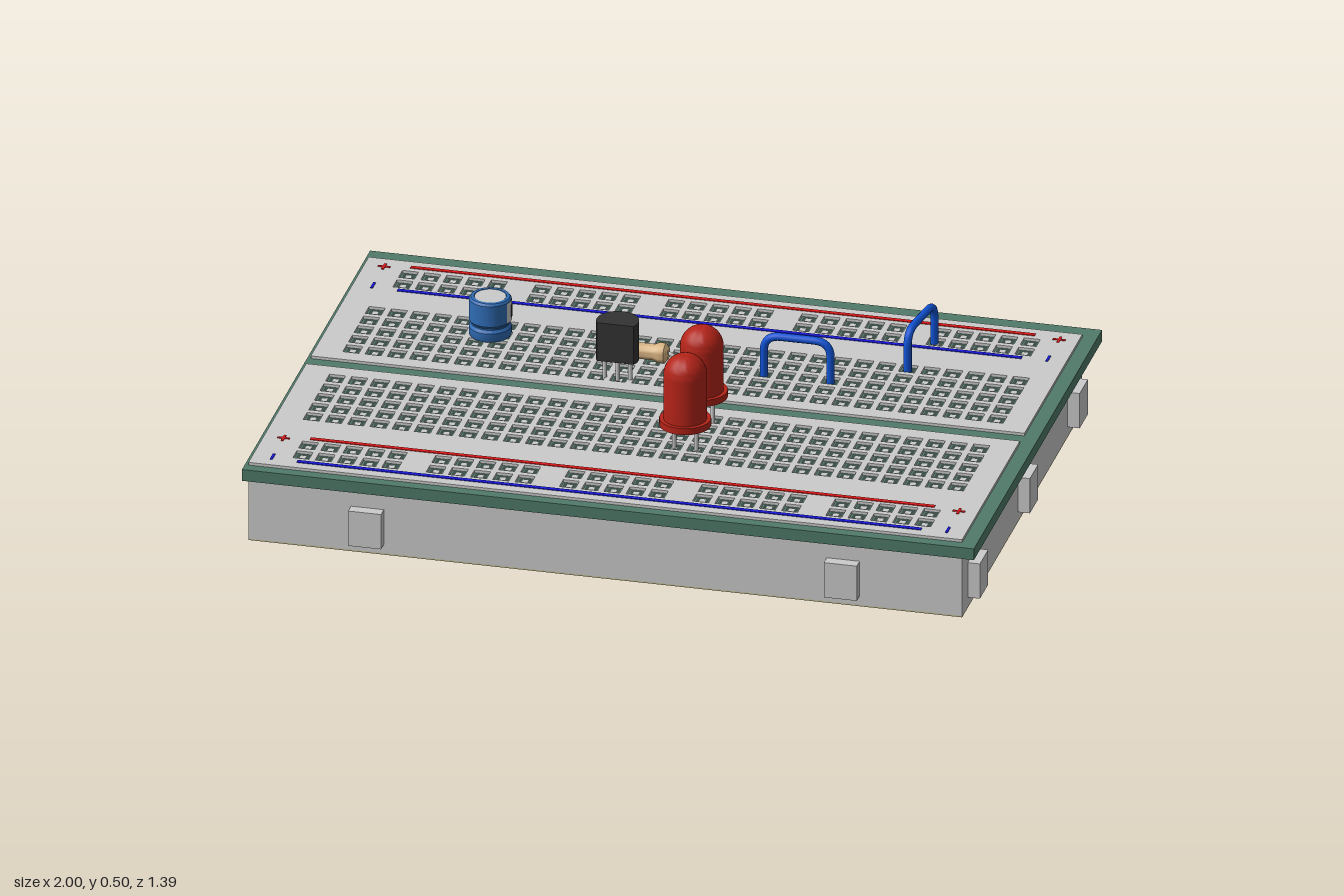
import * as THREE from 'three';
import { mergeGeometries, toCreasedNormals } from 'three/addons/utils/BufferGeometryUtils.js';

const mat = (color) => new THREE.MeshStandardMaterial({ color });
const M = {
  grey: mat(0xcccccc), green: mat(0x507a69), dark: mat(0x3c4c46), tape: mat(0xc0bc90),
  red: mat(0xe01818), blue: mat(0x1818e0), led: mat(0xb42318), black: mat(0x333333),
  tan: mat(0xd8b482), cap: mat(0x2f6cb5), wire: mat(0x1054d8),
};
const PITCH = 0.0607, SURFACE = 0.228;
const column = (n) => 0.868 - (n - 1) * PITCH; // x of numbered column 1..30

export function createModel() {
  const root = new THREE.Group();
  const add = (name, geo, material, x = 0, y = 0, z = 0, parent = root) => {
    const mesh = new THREE.Mesh(geo, material);
    mesh.name = name;
    mesh.position.set(x, y, z);
    parent.add(mesh);
    return mesh;
  };
  // Box given by its minimum and maximum corners
  const box = (name, m, a, b) => add(name,
    new THREE.BoxGeometry(b[0] - a[0], b[1] - a[1], b[2] - a[2]), m,
    (a[0] + b[0]) / 2, (a[1] + b[1]) / 2, (a[2] + b[2]) / 2);
  const group = (name, x, z) => {
    const g = new THREE.Group();
    g.name = name;
    g.position.set(x, 0, z);
    root.add(g);
    return g;
  };
  const lathe = (pts, seg = 32) => toCreasedNormals(
    new THREE.LatheGeometry(pts.map(([r, y]) => new THREE.Vector2(r, y)), seg), 0.6);

  // Body with the central channel, extruded along x
  const section = new THREE.Shape([
    [-0.638, 0.004], [0.664, 0.004], [0.664, 0.187], [0.037, 0.187], [0.037, 0.158],
    [-0.012, 0.158], [-0.012, 0.187], [-0.638, 0.187],
  ].map(([z, y]) => new THREE.Vector2(z, y)));
  const bodyGeo = new THREE.ExtrudeGeometry(section, { depth: 1.95, bevelEnabled: false });
  bodyGeo.rotateY(-Math.PI / 2);
  add('body', bodyGeo, M.grey, 0.96);
  box('adhesiveBacking', M.tape, [-0.99, 0, -0.638], [0.96, 0.004, 0.664]);
  box('boardSlab', M.green, [-1, 0.187, -0.695], [1, 0.22, 0.695]);

  // Interlocking tabs on the front and the left side
  for (const x of [-0.665, 0.635]) box('frontTab', M.grey, [x - 0.045, 0.03, 0.66], [x + 0.045, 0.132, 0.695]);
  for (const z of [0.557, 0.015, -0.525]) box('sideTab', M.grey, [0.955, 0.03, z - 0.045], [0.993, 0.132, z + 0.045]);

  // Socket positions: two power rails and two five-row terminal fields
  const sockets = [];
  for (const z of [-0.56, -0.5, 0.524, 0.585])
    for (let g = 0; g < 5; g++)
      for (let i = 0; i < 5; i++) sockets.push([-0.861 + g * 0.364 + i * PITCH, z]);
  for (const z0 of [-0.323, 0.107])
    for (let r = 0; r < 5; r++)
      for (let c = 1; c <= 30; c++) sockets.push([column(c), z0 + r * PITCH]);

  // Perforated top plates
  const square = (x, z, h) => [[-h, -h], [-h, h], [h, h], [h, -h]]
    .map(([a, b]) => new THREE.Vector2(x + a, z + b));
  for (const [name, z0, z1] of [['rearPlate', -0.64, -0.012], ['frontPlate', 0.037, 0.664]]) {
    const shape = new THREE.Shape([[-0.99, z0], [0.96, z0], [0.96, z1], [-0.99, z1]]
      .map(([x, z]) => new THREE.Vector2(x, z)));
    shape.holes = sockets.filter(([, z]) => z > z0 && z < z1)
      .map(([x, z]) => new THREE.Path(square(x, z, 0.022)));
    const geo = new THREE.ExtrudeGeometry(shape, { depth: 0.008, bevelEnabled: false });
    geo.rotateX(Math.PI / 2);
    add(name, geo, M.grey, 0, SURFACE);
  }
  // Dark wells and contacts inside the sockets
  const pads = (size, y) => mergeGeometries(sockets.map(([x, z]) =>
    new THREE.PlaneGeometry(size, size).rotateX(-Math.PI / 2).translate(x, y, z)));
  add('socketWells', pads(0.034, 0.221), M.dark);
  add('socketContacts', pads(0.015, 0.222), M.grey);

  // Rail stripes and polarity marks
  const mark = (name, m, x, z, w, d) => add(name, new THREE.BoxGeometry(w, 0.002, d), m, x, SURFACE + 0.001, z);
  for (const [redZ, blueZ] of [[-0.605, -0.46], [0.484, 0.628]]) {
    mark('redStripe', M.red, -0.013, redZ, 1.706, 0.013);
    mark('blueStripe', M.blue, -0.013, blueZ, 1.706, 0.013);
    for (const x of [-0.936, 0.909]) {
      mark('positiveMark', M.red, x, redZ + 0.013, 0.034, 0.007);
      mark('positiveMark', M.red, x, redZ + 0.013, 0.007, 0.034);
      mark('negativeMark', M.blue, x, blueZ - 0.012, 0.007, 0.034);
    }
  }

  // Straight component leg
  const leg = (parent, x, z, top) => add('leg',
    new THREE.CylinderGeometry(0.006, 0.006, top - 0.21, 10), M.grey, x, (top + 0.21) / 2, z, parent);

  // Two lamps with a collar and domed lens
  const lens = [[0, 0.295], [0.069, 0.295], [0.069, 0.314], [0.058, 0.314]];
  for (let i = 0; i <= 10; i++) {
    const a = (i / 10) * Math.PI / 2;
    lens.push([0.058 * Math.cos(a), 0.442 + 0.058 * Math.sin(a)]);
  }
  for (const z of [0.109, 0.289]) {
    const lamp = group('lamp', 0.109, z);
    add('lampLens', lathe(lens), M.led, 0, 0, 0, lamp);
    for (const s of [-1, 1]) leg(lamp, s * PITCH / 2, 0, 0.3);
  }

  // Transistor: rounded to the back, flat at the front
  const transistor = group('transistor', column(18) + 0.002 - 0.0065, -0.079);
  const dShape = new THREE.Shape();
  dShape.absarc(0, 0, 0.057, 0.5, Math.PI - 0.5, true);
  dShape.closePath();
  const dGeo = toCreasedNormals(new THREE.ExtrudeGeometry(dShape,
    { depth: 0.112, bevelEnabled: false, curveSegments: 24 }), 0.6);
  dGeo.rotateX(Math.PI / 2);
  add('transistorCase', dGeo, M.black, 0, 0.397, 0, transistor);
  for (const i of [-1, 0, 1]) leg(transistor, i * 0.035, 0, 0.29);

  // Staple-shaped path with rounded corners between two points
  const staple = (a, b, top, r, radius) => {
    const at = (t, y) => new THREE.Vector3(a[0] + (b[0] - a[0]) * t, y, a[1] + (b[1] - a[1]) * t);
    const k = r / Math.hypot(b[0] - a[0], b[1] - a[1]);
    const path = new THREE.CurvePath();
    path.add(new THREE.LineCurve3(at(0, 0.21), at(0, top - r)));
    path.add(new THREE.QuadraticBezierCurve3(at(0, top - r), at(0, top), at(k, top)));
    path.add(new THREE.LineCurve3(at(k, top), at(1 - k, top)));
    path.add(new THREE.QuadraticBezierCurve3(at(1 - k, top), at(1, top), at(1, top - r)));
    path.add(new THREE.LineCurve3(at(1, top - r), at(1, 0.21)));
    return new THREE.TubeGeometry(path, 60, radius, 10);
  };
  add('jumperWire', staple([column(12), -0.202], [column(9), -0.202], 0.34, 0.045, 0.011), M.wire);
  add('jumperWire', staple([0.564, -0.317], [0.59, -0.504], 0.34, 0.045, 0.011), M.wire);

  // Resistor lying flat with bulged ends
  add('resistorLead', staple([column(19), -0.202], [column(16), -0.202], 0.255, 0.02, 0.006), M.grey);
  const resistor = [[0, -0.076], [0.016, -0.075], [0.027, -0.066], [0.028, -0.05], [0.022, -0.036],
    [0.022, 0.036], [0.028, 0.05], [0.027, 0.066], [0.016, 0.075], [0, 0.076]];
  add('resistorBody', lathe(resistor, 24), M.tan, -0.135, 0.255, -0.202).rotation.z = Math.PI / 2;

  // Capacitor can with crimp groove, metal top and polarity stripe
  const capacitor = group('capacitor', -0.562, -0.26);
  add('capacitorSleeve', lathe([[0, 0.228], [0.054, 0.228], [0.057, 0.234], [0.057, 0.254], [0.051, 0.262],
    [0.051, 0.266], [0.057, 0.274], [0.057, 0.334], [0.052, 0.34], [0.043, 0.34], [0.043, 0.336], [0, 0.336]]),
  M.cap, 0, 0, 0, capacitor);
  add('capacitorTop', new THREE.CylinderGeometry(0.042, 0.042, 0.004, 32), M.grey, 0, 0.337, 0, capacitor);
  add('capacitorStripe', new THREE.CylinderGeometry(0.0578, 0.0578, 0.058, 10, 1, true, Math.PI / 2 - 0.45, 0.9),
    M.grey, 0, 0.304, 0, capacitor);
  add('capacitorStripeMark', new THREE.BoxGeometry(0.003, 0.036, 0.009), M.black, 0.058, 0.304, 0, capacitor);
  return root;
}
